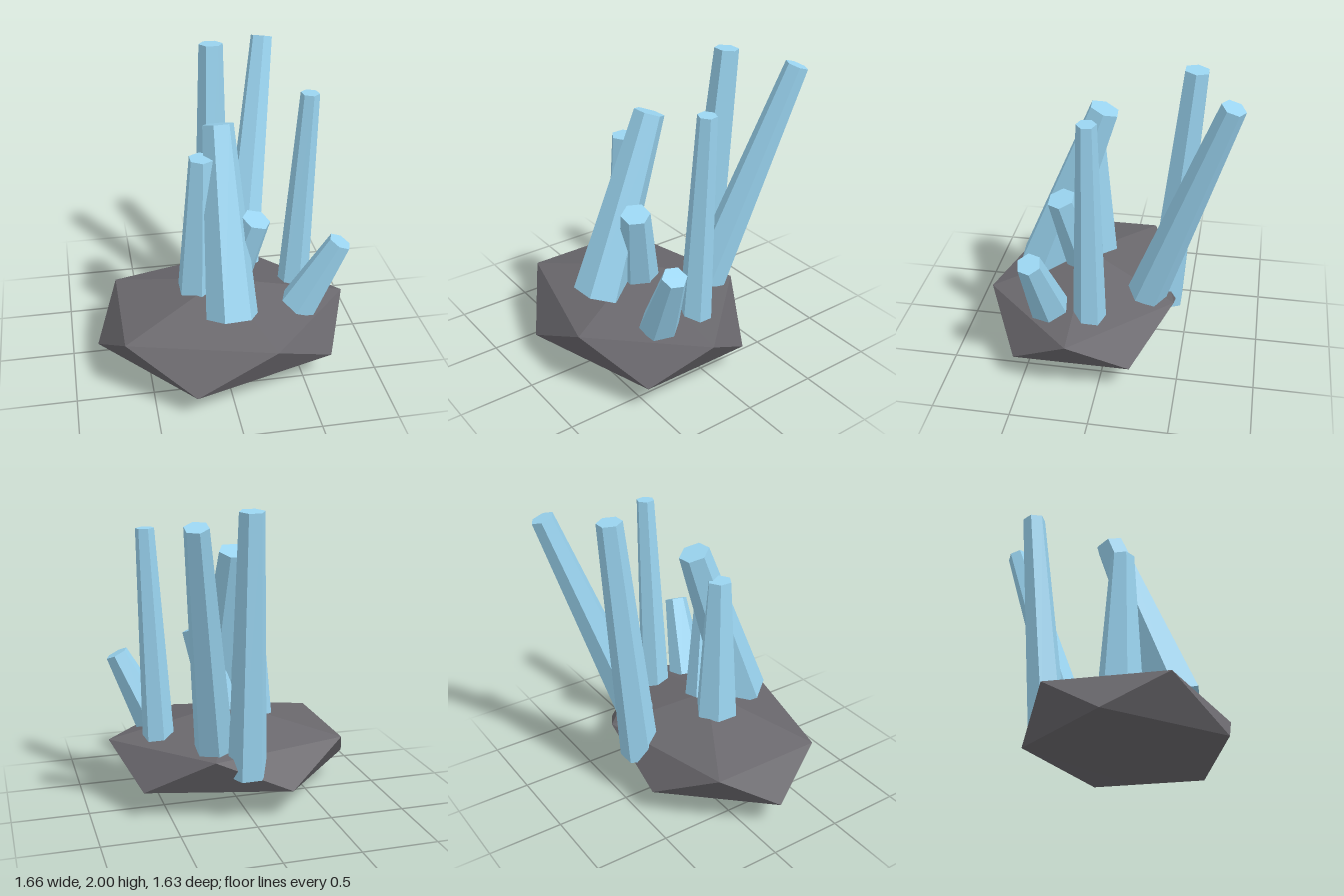
import * as THREE from 'three';

const rockMat = new THREE.MeshStandardMaterial({ color: 0x69676c, flatShading: true });
const crystalMat = new THREE.MeshStandardMaterial({ color: 0x9ad4f0, flatShading: true });

// Six-sided tapered shard running from base centre to tip centre
function crystal(name, base, tip, rBase, rTip, twist) {
  const a = new THREE.Vector3(...base);
  const b = new THREE.Vector3(...tip);
  const dir = b.clone().sub(a);
  const geo = new THREE.CylinderGeometry(rTip, rBase, dir.length(), 6);
  geo.rotateY(THREE.MathUtils.degToRad(twist));
  const mesh = new THREE.Mesh(geo, crystalMat);
  mesh.name = name;
  mesh.position.copy(a).add(b).multiplyScalar(0.5);
  mesh.quaternion.setFromUnitVectors(new THREE.Vector3(0, 1, 0), dir.normalize());
  return mesh;
}

// Flattened icosahedron standing on one corner
function rockBase() {
  const geo = new THREE.IcosahedronGeometry(1, 0);
  geo.rotateZ(-Math.atan(2 / (1 + Math.sqrt(5))));
  geo.scale(0.93, 0.31, 0.72);
  geo.translate(0, 0.31, 0.17);
  // Slight unevenness of the two rings of corners
  const p = geo.attributes.position;
  for (let i = 0; i < p.count; i++) {
    const x = p.getX(i), y = p.getY(i), z = p.getZ(i);
    if (y < 0.1 || y > 0.55) continue;
    const frontLow = y < 0.3 && x < 0 && z > 0.7;
    if (frontLow) p.setZ(i, z + 0.03);
    else p.setY(i, y < 0.3 ? 0.19 : 0.437);
  }
  geo.computeVertexNormals();
  const mesh = new THREE.Mesh(geo, rockMat);
  mesh.name = 'rockBase';
  return mesh;
}

export function createModel() {
  const group = new THREE.Group();
  group.name = 'crystalCluster';
  group.add(rockBase());

  // name, base centre, tip centre, base radius, tip radius, twist in degrees
  const shards = [
    ['backCrystal', [0.03, 0.31, -0.36], [0.05, 1.995, -0.51], 0.13, 0.08, 30],
    ['backLeftCrystal', [0.22, 0.475, -0.26], [0.44, 1.945, -0.75], 0.13, 0.075, 0],
    ['leftCrystal', [0.515, 0.46, 0.07], [0.575, 1.847, 0.06], 0.105, 0.06, 10],
    ['frontLeftCrystal', [0.49, 0.475, 0.335], [0.725, 0.965, 0.395], 0.13, 0.078, -20],
    ['frontCrystal', [0.02, 0.53, 0.475], [0, 1.68, 0.055], 0.17, 0.1, 35],
    ['rightCrystal', [-0.145, 0.55, 0.145], [-0.125, 1.51, 0.165], 0.145, 0.08, 0],
    ['middleCrystal', [0.05, 0.57, 0.18], [0.2, 1.125, 0.305], 0.13, 0.093, 30],
  ];
  for (const s of shards) group.add(crystal(...s));
  return group;
}
